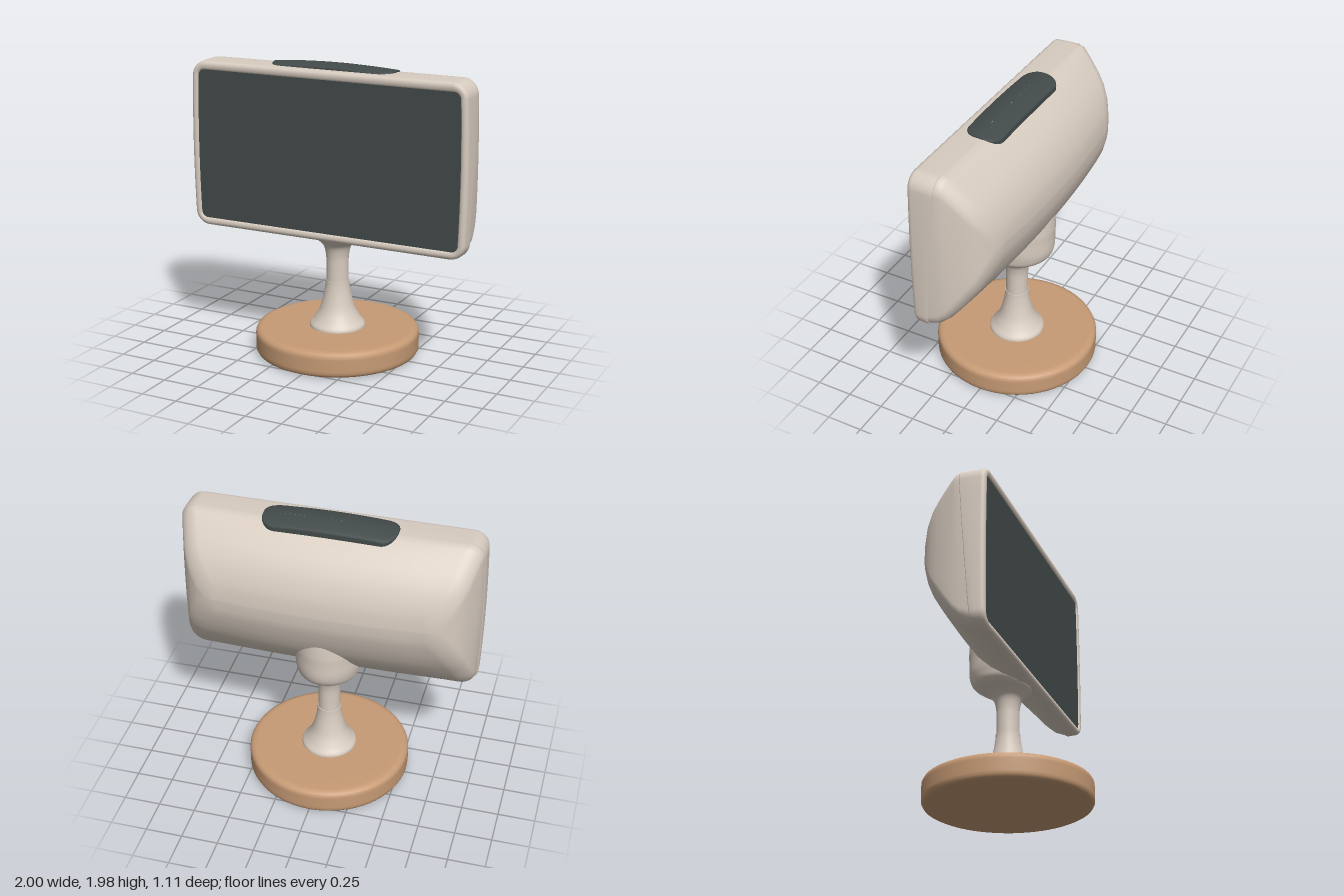
import * as THREE from 'three';

const mat = (name, color) => new THREE.MeshStandardMaterial({ name, color });

// Rounded rectangle, counter-clockwise, with subdivided edges
function ring(w, lo, hi, r) {
  const pts = [], mid = (lo + hi) / 2;
  r = Math.min(r, (hi - lo) / 2);
  const centres = [[w - r, lo + r], [w - r, hi - r], [-w + r, hi - r], [-w + r, lo + r]];
  const corner = (k, s) => {
    const a = (k - 1 + s) * Math.PI / 2, c = centres[k % 4];
    return [c[0] + r * Math.cos(a), c[1] + r * Math.sin(a)];
  };
  for (let k = 0; k < 4; k++) {
    for (let i = 0; i <= 8; i++) pts.push(corner(k, i / 8));
    const a = corner(k, 1), b = corner(k + 1, 0);
    for (let i = 1; i < 12; i++) {
      const t = i / 12;
      pts.push([a[0] + (b[0] - a[0]) * t, a[1] + (b[1] - a[1]) * t]);
    }
  }
  return pts;
}

// Skin through rings given as [depth, halfWidth, low, high, radius, ...extra]
function loft(rows, place) {
  const pos = [], idx = [];
  let n = 0;
  rows.forEach((row) => {
    const pts = ring(row[1], row[2], row[3], row[4]);
    n = pts.length;
    pts.forEach(([u, v]) => pos.push(...place(u, v, row)));
  });
  for (let i = 0; i < rows.length - 1; i++) {
    for (let j = 0; j < n; j++) {
      const a = i * n + j, b = i * n + (j + 1) % n;
      idx.push(a, b, b + n, a, b + n, a + n);
    }
  }
  const g = new THREE.BufferGeometry();
  g.setAttribute('position', new THREE.Float32BufferAttribute(pos, 3));
  g.setIndex(idx);
  g.computeVertexNormals();
  return g;
}

const lathe = (pts) => new THREE.LatheGeometry(pts.map((p) => new THREE.Vector2(...p)), 64);

function smoothLathe(pts, steps) {
  const curve = new THREE.SplineCurve(pts.map((p) => new THREE.Vector2(...p)));
  return new THREE.LatheGeometry(curve.getPoints(steps), 64);
}

export function createModel() {
  const model = new THREE.Group();
  const shellMat = mat('warm beige', 0xd8ccc0);
  const darkMat = mat('dark glass', 0x434a4a);
  const woodMat = mat('light wood', 0xc79b75);
  const add = (name, geometry, material) => {
    const m = new THREE.Mesh(geometry, material);
    m.name = name;
    model.add(m);
    return m;
  };

  // Round wooden foot with softened rims
  add('base', lathe([[0, 0], [0.5, 0], [0.525, 0.003], [0.545, 0.013], [0.554, 0.03], [0.555, 0.05],
    [0.555, 0.13], [0.554, 0.147], [0.545, 0.164], [0.525, 0.174], [0.5, 0.177], [0, 0.177]]), woodMat);

  // Lower flared stem
  add('lowerStem', smoothLathe([[0.188, 0.17], [0.185, 0.195], [0.155, 0.235], [0.12, 0.3],
    [0.095, 0.39], [0.083, 0.46], [0.08, 0.5]], 30), shellMat);
  add('stemLip', lathe([[0.08, 0.5], [0.07, 0.5]]), shellMat);

  // Upper stem swelling into the knuckle behind the housing
  const neck = smoothLathe([[0.076, 0.49], [0.075, 0.6], [0.078, 0.68], [0.095, 0.745], [0.135, 0.785],
    [0.19, 0.818], [0.238, 0.858], [0.26, 0.92], [0.263, 1.02], [0.264, 1.1], [0.25, 1.22], [0.2, 1.3]], 60);
  const p = neck.attributes.position;
  for (let i = 0; i < p.count; i++) {
    const k = THREE.MathUtils.smoothstep(p.getY(i), 0.76, 0.9);
    p.setX(i, p.getX(i) * (1 - 0.15 * k));
    if (p.getZ(i) > 0) p.setZ(i, p.getZ(i) * (1 - 0.45 * k));
  }
  neck.computeVertexNormals();
  add('neck', neck, shellMat);

  // Housing: depth slants along the seam and bows across the width
  const place = (x, y, [z, , , , , slant = 0, bow = 0]) => {
    const side = 1 - 0.014 * ((y - 1.385) / 0.56) ** 2;
    return [x * side, y, z + slant * 0.08 * (1.385 - y) + bow * 0.045 * (x / 0.8) ** 2];
  };
  add('rearShell', loft([
    [-0.333, 0.70, 1.46, 1.46, 0, 0, 1],
    [-0.33, 0.75, 1.39, 1.54, 0.08, 0, 1],
    [-0.315, 0.81, 1.325, 1.61, 0.1, 0, 1],
    [-0.285, 0.865, 1.24, 1.69, 0.1, 0, 1],
    [-0.245, 0.905, 1.15, 1.76, 0.1, 0, 1],
    [-0.2, 0.932, 1.08, 1.815, 0.1, 0, 1],
    [-0.15, 0.952, 1.01, 1.865, 0.1, 0, 0.9],
    [-0.1, 0.967, 0.955, 1.905, 0.1, 0, 0.7],
    [-0.045, 0.978, 0.9, 1.936, 0.1, 0.15, 0.4],
    [0.01, 0.987, 0.852, 1.95, 0.1, 0.55, 0.1],
    [0.065, 0.992, 0.824, 1.952, 0.1, 1, 0],
    [0.08, 0.992, 0.824, 1.952, 0.1, 1, 0],
  ], place), shellMat);

  // Front housing with a rounded bezel lip
  add('frontFrame', loft([
    [0.069, 0.985, 0.83, 1.945, 0.09, 1],
    [0.067, 0.994, 0.822, 1.951, 0.095, 1],
    [0.073, 0.999, 0.818, 1.954, 0.1, 1],
    [0.12, 0.999, 0.818, 1.953, 0.1, 0.5],
    [0.175, 0.997, 0.818, 1.951, 0.1],
    [0.193, 0.993, 0.822, 1.947, 0.095],
    [0.204, 0.983, 0.832, 1.937, 0.085],
    [0.207, 0.970, 0.846, 1.922, 0.07],
    [0.205, 0.957, 0.86, 1.905, 0.055],
    [0.199, 0.949, 0.87, 1.894, 0.045],
    [0.185, 0.946, 0.873, 1.89, 0.04],
  ], place), shellMat);

  // Display glass, set just inside the lip
  const glass = new THREE.Shape(ring(0.953, 0.866, 1.897, 0.04).map(([x, y]) => new THREE.Vector2(x, y)));
  add('screen', new THREE.ShapeGeometry(glass), darkMat).position.z = 0.195;

  // Domed dark bar along the top
  const bar = [[-0.05, 1], [-0.01, 1], [-0.003, 0.99], [0, 0.96], [0, 0.8], [0, 0.5], [0, 0.2], [0, 0.001]]
    .map(([h, s]) => [h, 0.44 - 0.12 * (1 - s), -0.03 - 0.12 * s, -0.03 + 0.12 * s, 0.1 * s]);
  add('topBar', loft(bar, (x, v, [h]) =>
    [x, 1.983 + h - 0.018 * (x / 0.44) ** 2 - 1.7 * (v + 0.05) ** 2, -v]), darkMat);

  return model;
}
